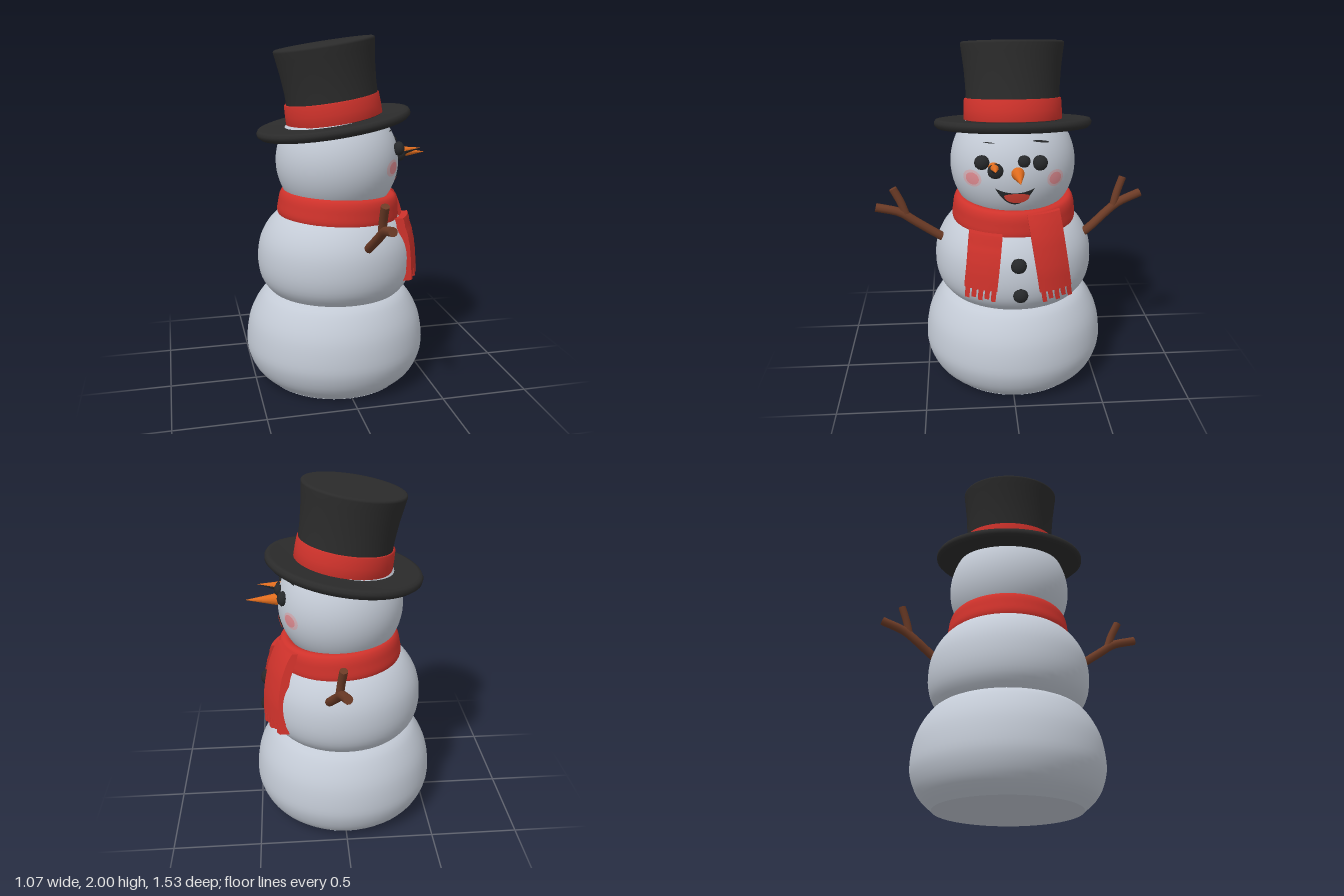
import * as THREE from 'three';

const mat = (name, color) => {
  const m = new THREE.MeshStandardMaterial({ color, side: THREE.DoubleSide });
  m.name = name;
  return m;
};

export function createModel() {
  const snow = mat('snow', 0xc3cad5), black = mat('hat black', 0x2b2b2b), red = mat('scarf red', 0xcf322b);
  const coal = mat('coal', 0x27292b), wood = mat('wood', 0x6c3b26), orange = mat('carrot', 0xe06c1e);
  const blush = mat('blush', 0xdf8c92), halo = mat('pale blush', 0xd5b3ba), tongueRed = mat('tongue', 0xdb4336);
  const model = new THREE.Group();
  model.name = 'snowman';

  const add = (name, geo, material, pos = [0, 0, 0], parent = model) => {
    const mesh = new THREE.Mesh(geo, material);
    mesh.name = name;
    mesh.position.set(...pos);
    parent.add(mesh);
    return mesh;
  };
  // Smooth turned form; the profile runs from bottom to top
  const lathe = (pts, smooth = 24) => {
    const v = pts.map(p => new THREE.Vector2(...p));
    return new THREE.LatheGeometry(smooth ? new THREE.SplineCurve(v).getPoints(smooth) : v, 56);
  };

  // Body
  add('lowerBody', lathe([[0.40, 0], [0.475, 0.07], [0.517, 0.16], [0.526, 0.25], [0.505, 0.38],
    [0.45, 0.49], [0.385, 0.55], [0.25, 0.59]]), snow, [-0.013, 0, -0.025]);
  const base = add('baseDisc', new THREE.CircleGeometry(0.402, 56), snow, [-0.013, 0, -0.025]);
  base.rotation.x = Math.PI / 2;
  add('middleBody', lathe([[0.34, 0.52], [0.385, 0.55], [0.435, 0.62], [0.455, 0.72], [0.443, 0.84],
    [0.395, 0.94], [0.32, 1.01], [0.2, 1.05]]), snow, [-0.008, 0, -0.023]);
  const head = { x: 0.003, y: 1.305, z: -0.02, r: 0.352 };
  add('head', new THREE.SphereGeometry(head.r, 56, 36), snow, [head.x, head.y, head.z]);

  // Tilted top hat
  const hat = new THREE.Group();
  hat.name = 'topHat';
  hat.position.set(-0.018, 1.515, -0.022);
  hat.rotation.z = 0.155;
  model.add(hat);
  add('brim', lathe([[0, -0.025], [0.38, -0.028], [0.42, -0.022], [0.438, -0.006], [0.44, 0.012],
    [0.43, 0.027], [0.41, 0.03], [0.36, 0.022], [0.24, 0.02]], 0), black, [0, 0, 0], hat);
  add('crown', lathe([[0.262, 0.01], [0.26, 0.1], [0.261, 0.2], [0.268, 0.3], [0.279, 0.39], [0.285, 0.432],
    [0.284, 0.441], [0.277, 0.446], [0.26, 0.446], [0, 0.448]], 0), black, [0.014, 0, 0], hat);
  add('hatBand', lathe([[0.262, 0.022], [0.275, 0.026], [0.274, 0.08], [0.27, 0.14], [0.26, 0.144]], 0),
    red, [0.01, 0, 0], hat);

  // Scarf wrap
  const wrap = add('scarfWrap', lathe([[0.29, -0.075], [0.335, -0.082], [0.353, -0.05], [0.349, 0],
    [0.342, 0.045], [0.325, 0.075], [0.295, 0.08], [0.26, 0.06]]), red, [0.01, 1.048, -0.025]);
  wrap.rotation.z = -0.06;

  // Scarf tails: strips bent around the body, ending in fringe strands
  const drape = new THREE.SplineCurve([[1.12, 0.345], [1.05, 0.392], [0.95, 0.428], [0.82, 0.458],
    [0.72, 0.468], [0.62, 0.472]].map(p => new THREE.Vector2(...p))).getPoints(40);
  const radiusAt = y => (drape.find(p => p.x <= y) || drape[40]).y;
  const strip = (name, t, s0, s1, a0, a1) => {
    const geo = new THREE.BoxGeometry(1, 1, 1, 6, 12, 1), p = geo.attributes.position;
    for (let i = 0; i < p.count; i++) {
      const s = s0 + (0.5 - p.getY(i)) * (s1 - s0);
      const a = a0 + (p.getX(i) + 0.5) * (a1 - a0);
      const y = t.top + (t.bottom - t.top) * s;
      const z = t.zTop + (t.zBottom - t.zTop) * s + (a - 0.5) * t.width;
      const r = radiusAt(y) + (p.getZ(i) > 0 ? 0.008 : -0.03);
      p.setXYZ(i, -0.008 + Math.sqrt(r * r - (z + 0.024) ** 2), y, z);
    }
    geo.computeVertexNormals();
    add(name, geo, red);
  };
  const tails = [
    { name: 'rightTail', top: 1.0, bottom: 0.64, zTop: 0.15, zBottom: 0.19, width: 0.175 },
    { name: 'leftTail', top: 1.1, bottom: 0.63, zTop: -0.165, zBottom: -0.237, width: 0.185 }];
  for (const t of tails) {
    const hem = 1 - 0.06 / (t.top - t.bottom);
    strip(t.name, t, 0, hem, 0, 1);
    for (let i = 0; i < 5; i++)
      strip(t.name + 'Fringe', t, hem, i % 2 ? 0.97 : 1, i * 0.2 + 0.02, i * 0.2 + 0.15);
  }

  // Coal lumps: eyes and buttons
  const lumps = [['eye', 0.315, 1.385, 0.165, 0.041], ['eye', 0.345, 1.345, 0.095, 0.043],
    ['eye', 0.345, 1.395, -0.055, 0.034], ['eye', 0.325, 1.38, -0.14, 0.043],
    ['button', 0.437, 0.84, -0.022, 0.044], ['button', 0.445, 0.668, -0.032, 0.042]];
  for (const [name, x, y, z, r] of lumps) {
    const lump = add(name, new THREE.IcosahedronGeometry(r, 1), coal, [x, y, z]);
    lump.scale.x = 0.75;
  }

  // Carrot nose, and a smaller sliver of carrot with a dark underside
  const nose = add('nose', new THREE.ConeGeometry(0.042, 0.22, 16), orange, [0.425, 1.33, -0.022]);
  nose.rotation.z = -Math.PI / 2;
  const sliver = new THREE.Group();
  sliver.name = 'carrotSliver';
  sliver.position.set(0.39, 1.365, 0.1);
  sliver.rotation.z = -Math.PI / 2 + 0.12;
  model.add(sliver);
  add('sliverTop', new THREE.ConeGeometry(0.034, 0.16, 8, 1, false, Math.PI, Math.PI), orange, [0, 0, 0], sliver);
  add('sliverUnderside', new THREE.ConeGeometry(0.034, 0.16, 8, 1, false, 0, Math.PI), coal, [0, 0, 0], sliver);

  // Face patches lying on the head, between an upper and a lower edge
  const patch = (name, material, zc, half, upper, lower, lift) => {
    const n = 20, m = 8, pos = [], idx = [];
    for (let i = 0; i <= n; i++) for (let j = 0; j <= m; j++) {
      const u = -Math.cos(Math.PI * i / n), z = zc + u * half;
      const y = lower(u) + (upper(u) - lower(u)) * j / m;
      const r = head.r + lift;
      pos.push(head.x + Math.sqrt(r * r - (y - head.y) ** 2 - (z - head.z) ** 2), y, z);
      if (i < n && j < m) {
        const a = i * (m + 1) + j, b = a + m + 1;
        idx.push(a, a + 1, b, b, a + 1, b + 1);
      }
    }
    const geo = new THREE.BufferGeometry();
    geo.setAttribute('position', new THREE.Float32BufferAttribute(pos, 3));
    geo.setIndex(idx);
    geo.computeVertexNormals();
    add(name, geo, material);
  };
  const arc = u => Math.sqrt(Math.max(0, 1 - u * u));
  patch('mouth', coal, -0.008, 0.105, u => 1.222 + 0.025 * u * u, u => 1.152 + 0.095 * u * u, 0.004);
  patch('tongue', tongueRed, -0.018, 0.068, u => 1.205 + 0.015 * arc(u), u => 1.205 - 0.043 * arc(u), 0.008);
  for (const z of [0.215, -0.228]) {
    patch('cheekHalo', halo, z, 0.047, u => 1.285 + 0.047 * arc(u), u => 1.285 - 0.047 * arc(u), 0.003);
    patch('cheek', blush, z, 0.034, u => 1.285 + 0.034 * arc(u), u => 1.285 - 0.034 * arc(u), 0.006);
  }
  patch('eyebrow', coal, -0.15, 0.045, u => 1.483 + 0.007 * arc(u) + 0.008 * u, u => 1.483 - 0.003 * arc(u) + 0.008 * u, 0.004);
  patch('eyebrow', coal, 0.125, 0.03, u => 1.48 + 0.003 * arc(u), u => 1.48 - 0.002 * arc(u), 0.004);

  // Twig arms: a bent main branch and a side twig, with capped ends
  const twig = (name, pts, r) => {
    const v = pts.map(p => new THREE.Vector3(...p));
    add(name, new THREE.TubeGeometry(new THREE.CatmullRomCurve3(v), 16, r, 9), wood);
    const end = add(name + 'End', new THREE.CircleGeometry(r, 9), wood, pts[pts.length - 1]);
    end.lookAt(v[v.length - 1].clone().multiplyScalar(2).sub(v[v.length - 2]));
  };
  twig('rightArm', [[0.08, 0.85, 0.34], [0.086, 0.915, 0.44], [0.095, 0.985, 0.54], [0.1, 1.04, 0.62], [0.103, 1.075, 0.755]], 0.025);
  twig('rightArmTwig', [[0.098, 1.03, 0.59], [0.096, 1.1, 0.615], [0.093, 1.18, 0.655]], 0.023);
  twig('leftArm', [[0.1, 0.85, -0.37], [0.085, 0.925, -0.47], [0.06, 0.99, -0.55], [0.045, 1.05, -0.63], [0.022, 1.1, -0.76]], 0.025);
  twig('leftArmTwig', [[0.052, 1.03, -0.6], [0.045, 1.11, -0.62], [0.035, 1.2, -0.652]], 0.022);

  return model;
}
